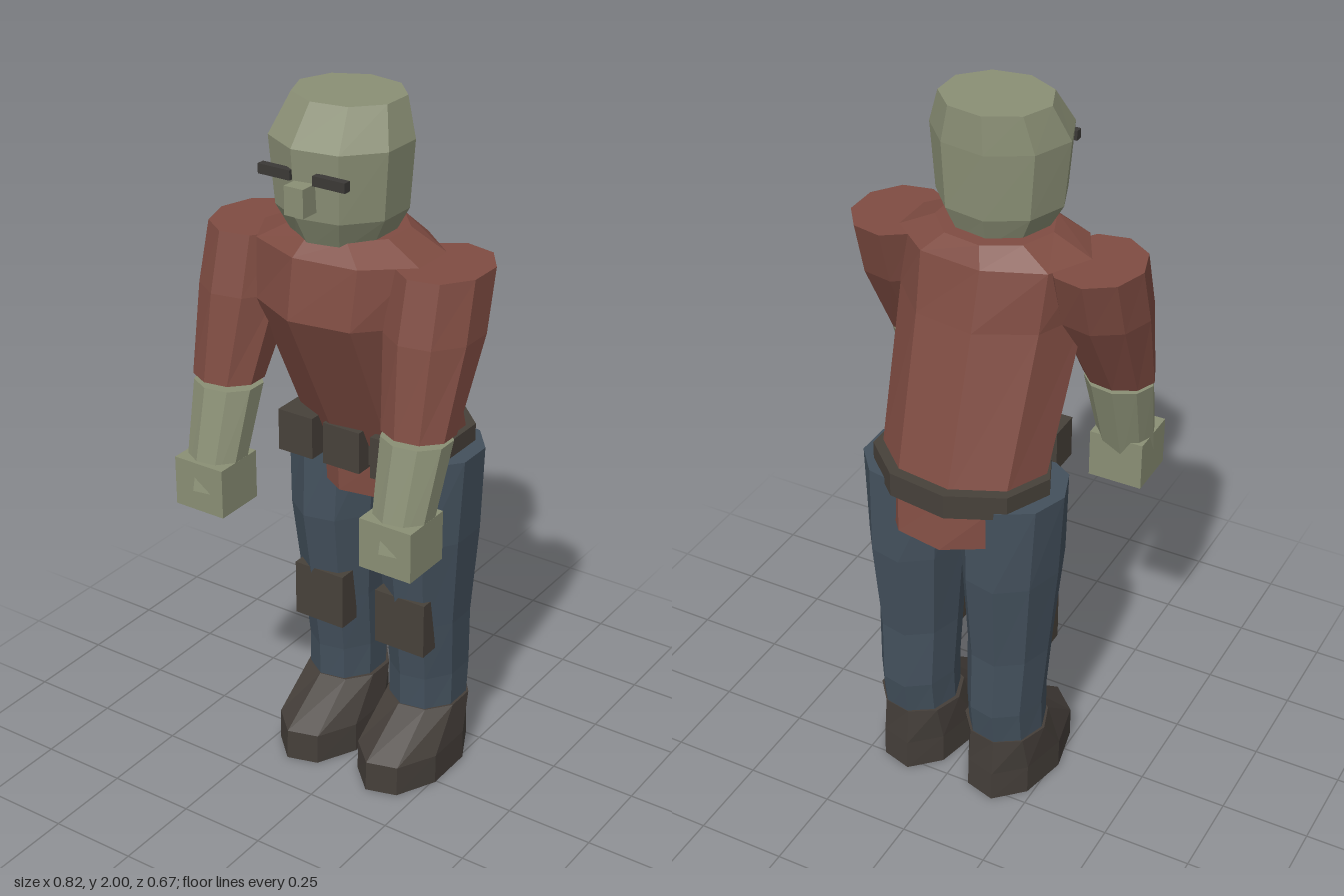
import * as THREE from 'three';

const mat = (name, color) => {
  const m = new THREE.MeshStandardMaterial({ color, flatShading: true });
  m.name = name;
  return m;
};

// Nine-sided loft through sections [y, centreX, centreZ, radiusX, radiusZ], bottom to top
function loft(sections, sides = 9) {
  const pos = [];
  const point = ([y, cx, cz, rx, rz], i) => {
    const a = Math.PI + (i / sides) * Math.PI * 2;
    return [cx + Math.cos(a) * rx, y, cz + Math.sin(a) * rz];
  };
  const tri = (a, b, c) => pos.push(...a, ...b, ...c);
  const first = sections[0], last = sections[sections.length - 1];
  for (let i = 0; i < sides; i++) {
    for (let s = 0; s < sections.length - 1; s++) {
      const a = point(sections[s], i), b = point(sections[s], i + 1);
      const c = point(sections[s + 1], i + 1), d = point(sections[s + 1], i);
      tri(a, d, b);
      tri(b, d, c);
    }
    tri([first[1], first[0], first[2]], point(first, i), point(first, i + 1));
    tri([last[1], last[0], last[2]], point(last, i + 1), point(last, i));
  }
  const g = new THREE.BufferGeometry();
  g.setAttribute('position', new THREE.Float32BufferAttribute(pos, 3));
  g.computeVertexNormals();
  return g;
}

export function createModel() {
  const model = new THREE.Group();
  model.name = 'figure';
  const skin = mat('skin', 0x8a8f75);
  const shirt = mat('shirt red', 0x7f4c42);
  const denim = mat('trouser blue', 0x43505c);
  const leather = mat('leather', 0x47413a);
  const boot = mat('boot brown', 0x443e39);
  const dark = mat('brow dark', 0x3b3936);

  const add = (name, geometry, material) => {
    const mesh = new THREE.Mesh(geometry, material);
    mesh.name = name;
    model.add(mesh);
    return mesh;
  };
  const box = (name, material, [w, h, d], [x, y, z]) =>
    add(name, new THREE.BoxGeometry(w, h, d), material).position.set(x, y, z);

  // Head and face
  add('head', loft([
    [1.63, 0, 0.075, 0.12, 0.125],
    [1.72, 0, 0.08, 0.172, 0.165],
    [1.9, 0, 0.083, 0.188, 0.174],
    [2.0, 0, 0.05, 0.15, 0.134],
  ]), skin);
  box('nose', skin, [0.056, 0.075, 0.09], [0, 1.782, 0.245]);

  // Leaning torso with flared hem
  add('torso', loft([
    [0.88, 0, -0.14, 0.2, 0.198],
    [1.02, 0, -0.125, 0.232, 0.182],
    [1.45, 0, 0.045, 0.255, 0.222],
    [1.61, 0, 0.052, 0.266, 0.186],
    [1.66, 0, 0.05, 0.16, 0.15],
  ]), shirt);

  // Belt with buckle
  add('belt', loft([
    [0.98, 0, -0.132, 0.252, 0.198],
    [1.05, 0, -0.132, 0.252, 0.198],
  ]), leather);
  box('buckle', leather, [0.115, 0.12, 0.09], [0, 1.032, 0.05]);

  for (const [side, s] of [['left', 1], ['right', -1]]) {
    box(side + 'Brow', dark, [0.095, 0.026, 0.022], [s * 0.081, 1.834, 0.248]);
    box(side + 'BeltPouch', leather, [0.11, 0.12, 0.09], [s * 0.148, 1.032, 0.05]);

    // Arm
    add(side + 'Sleeve', loft([
      [1.21, s * 0.297, 0.182, 0.1, 0.088],
      [1.45, s * 0.287, 0.095, 0.127, 0.14],
      [1.61, s * 0.285, 0.05, 0.124, 0.145],
    ]), shirt);
    add(side + 'Forearm', loft([
      [0.92, s * 0.295, 0.265, 0.076, 0.075],
      [1.195, s * 0.295, 0.186, 0.097, 0.086],
    ]), skin);
    box(side + 'Hand', skin, [0.155, 0.14, 0.15], [s * 0.295, 0.93, 0.255]);

    // Leg
    add(side + 'Leg', loft([
      [0.16, s * 0.138, -0.14, 0.108, 0.118],
      [0.3, s * 0.138, -0.148, 0.108, 0.13],
      [0.48, s * 0.14, -0.132, 0.115, 0.136],
      [0.75, s * 0.143, -0.125, 0.135, 0.166],
      [1.0, s * 0.143, -0.125, 0.148, 0.152],
    ]), denim);
    box(side + 'KneePad', leather, [0.16, 0.165, 0.07], [s * 0.135, 0.49, -0.023]);
    add(side + 'Boot', loft([
      [0, s * 0.136, -0.068, 0.13, 0.216],
      [0.09, s * 0.136, -0.068, 0.13, 0.212],
      [0.2, s * 0.136, -0.142, 0.118, 0.124],
    ]), boot);
  }
  return model;
}
